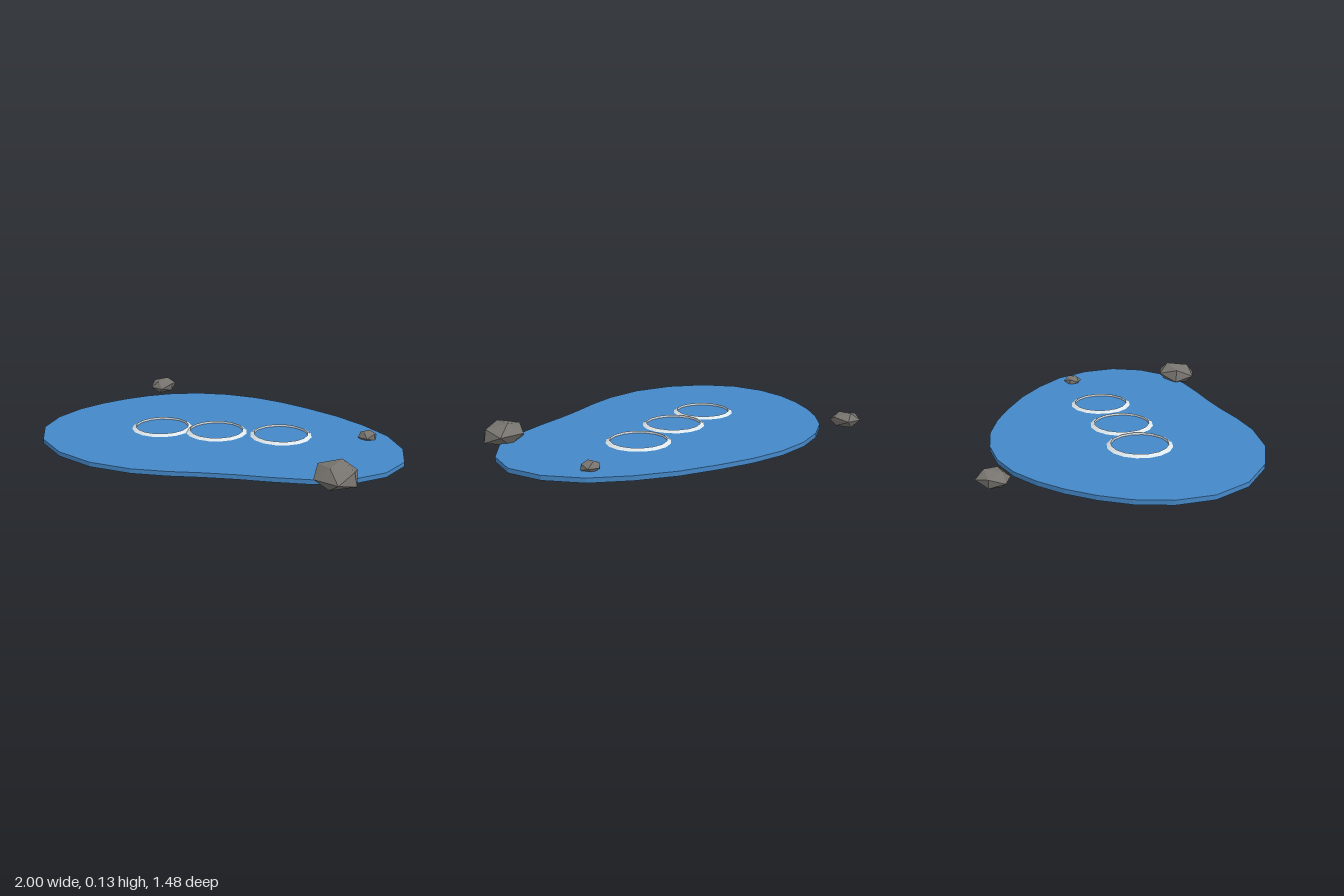
import * as THREE from 'three';

const material = (color) => new THREE.MeshStandardMaterial({ color, flatShading: true });

// Shoreline of the pond as [x, z]
const SHORE = [
  [1, -0.23], [0.99, -0.04], [0.9, 0.13], [0.74, 0.26], [0.57, 0.35], [0.41, 0.425], [0.26, 0.505],
  [0.11, 0.595], [-0.065, 0.68], [-0.295, 0.737], [-0.535, 0.725], [-0.755, 0.64], [-0.91, 0.49],
  [-0.985, 0.31], [-1, 0.125], [-0.975, -0.04], [-0.925, -0.2], [-0.855, -0.345], [-0.76, -0.48],
  [-0.625, -0.595], [-0.46, -0.68], [-0.27, -0.73], [-0.07, -0.743], [0.12, -0.73], [0.34, -0.7],
  [0.55, -0.64], [0.75, -0.55], [0.91, -0.405],
];

// Flat slab of water
function makeWater() {
  const shape = new THREE.Shape(SHORE.map(([x, z]) => new THREE.Vector2(x, -z)));
  const geometry = new THREE.ExtrudeGeometry(shape, { depth: 0.025, bevelEnabled: false });
  geometry.rotateX(-Math.PI / 2);
  const mesh = new THREE.Mesh(geometry, material(0x4488c8));
  mesh.name = 'water';
  return mesh;
}

// Ripple ring: triangular section with its slope facing outward
function makeRipple(x, z) {
  const geometry = new THREE.TorusGeometry(0.16, 0.0165, 3, 16);
  geometry.rotateX(-Math.PI / 2);
  const mesh = new THREE.Mesh(geometry, material(0xdde6ea));
  mesh.name = 'ripple';
  mesh.position.set(x, 0.0235, z);
  return mesh;
}

// Squashed faceted stone; taper widens (+) or narrows (-) it toward the top
function makeRock({ name, radius, at, turn, tilt, taper }) {
  const geometry = new THREE.IcosahedronGeometry(radius, 0);
  geometry.rotateY(turn);
  const p = geometry.attributes.position;
  for (let i = 0; i < p.count; i++) {
    p.setX(i, p.getX(i) * (1 + (taper * p.getY(i)) / radius));
  }
  geometry.scale(1, 0.55, 1);
  geometry.computeVertexNormals();
  const mesh = new THREE.Mesh(geometry, material(0x77746f));
  mesh.name = name;
  mesh.position.set(...at);
  mesh.rotation.set(tilt[0], 0, tilt[1]);
  return mesh;
}

export function createModel() {
  const pond = new THREE.Group();
  pond.name = 'pond';
  pond.add(makeWater());

  const ripples = new THREE.Group();
  ripples.name = 'ripples';
  for (const [x, z] of [[-0.36, 0.09], [-0.065, -0.04], [0.263, -0.205]]) ripples.add(makeRipple(x, z));
  pond.add(ripples);

  const rocks = new THREE.Group();
  rocks.name = 'rocks';
  rocks.add(
    makeRock({ name: 'largeRock', radius: 0.125, at: [0.843, 0.062, 0.212], turn: 1.62, tilt: [0.07, -0.04], taper: -0.15 }),
    makeRock({ name: 'mediumRock', radius: 0.086, at: [-0.892, 0.048, -0.542], turn: 1.57, tilt: [0.1, 0], taper: 0.15 }),
    makeRock({ name: 'smallRock', radius: 0.056, at: [0.676, 0.038, -0.45], turn: 1.45, tilt: [0.05, 0.05], taper: -0.1 }),
  );
  pond.add(rocks);
  return pond;
}
